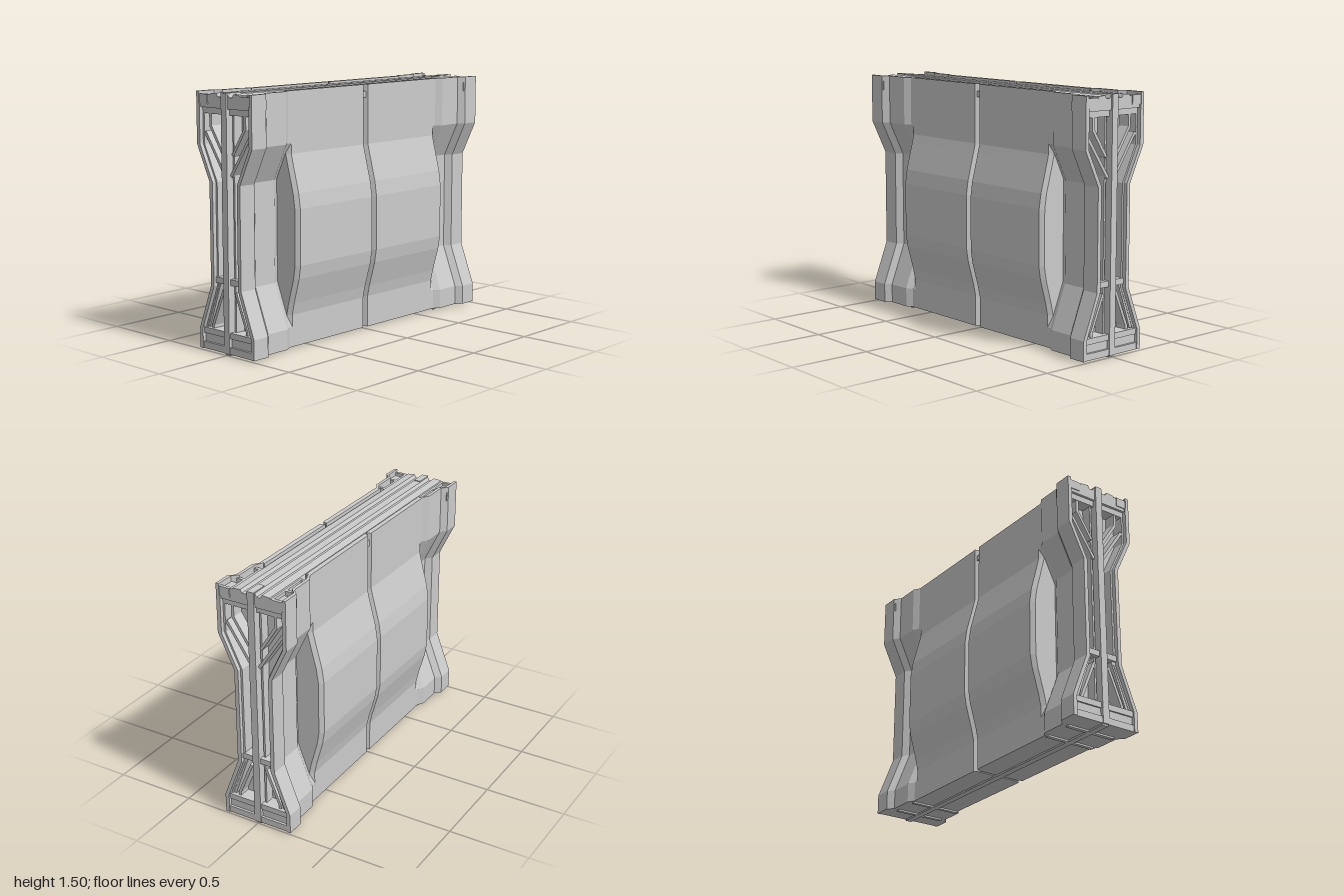
import * as THREE from 'three';

const material = new THREE.MeshStandardMaterial({ color: 0xcccccc, flatShading: true, side: THREE.DoubleSide });

function add(parent, name, geometry) {
  const mesh = new THREE.Mesh(geometry, material);
  mesh.name = name;
  parent.add(mesh);
  return mesh;
}

// Box from its minimum and maximum corners
function box(parent, name, x0, x1, y0, y1, z0, z1) {
  const mesh = add(parent, name, new THREE.BoxGeometry(x1 - x0, y1 - y0, z1 - z0));
  mesh.position.set((x0 + x1) / 2, (y0 + y1) / 2, (z0 + z1) / 2);
  return mesh;
}

// Sweep a plan section up a path of [y, z]. Section points are [x, offset from z],
// or [x, z, true] for a fixed z. mirror = -1 flips x.
function loft(section, path, mirror = 1) {
  const rings = path.map(([y, z]) =>
    section.map(([x, d, fixed]) => new THREE.Vector3(x * mirror, y, fixed ? d : z + d)));
  const flat = ring => ring.map(p => new THREE.Vector2(p.x, p.z));
  if (THREE.ShapeUtils.isClockWise(flat(rings[0]))) rings.forEach(r => r.reverse());
  const out = [];
  const tri = (...pts) => pts.forEach(p => out.push(p.x, p.y, p.z));
  const n = section.length;
  for (let i = 0; i < rings.length - 1; i++) {
    const a = rings[i], b = rings[i + 1];
    for (let j = 0; j < n; j++) {
      const k = (j + 1) % n;
      tri(a[j], b[j], a[k]);
      tri(a[k], b[j], b[k]);
    }
  }
  const low = rings[0], high = rings[rings.length - 1];
  for (const [a, b, c] of THREE.ShapeUtils.triangulateShape(flat(low), [])) tri(low[a], low[b], low[c]);
  for (const [a, b, c] of THREE.ShapeUtils.triangulateShape(flat(high), [])) tri(high[a], high[c], high[b]);
  const g = new THREE.BufferGeometry();
  g.setAttribute('position', new THREE.Float32BufferAttribute(out, 3));
  g.computeVertexNormals();
  return g;
}

// Face heights and depths: the columns pinch in, the panels bulge out
const deck = 1.43;
const columnPath = [[0.01, 0.225], [0.13, 0.225], [0.39, 0.125], [0.99, 0.125], [1.2, 0.225], [deck, 0.225]];
const panelPath = [[0.01, 0.165], [0.2, 0.165], [0.27, 0.18], [0.42, 0.222], [0.5, 0.235],
  [0.83, 0.235], [0.92, 0.222], [1.08, 0.18], [1.14, 0.165], [deck, 0.165]];

const columnFace = [[1, 0], [0.89, 0], [0.855, -0.035], [0.7, -0.035], [0.66, -0.06], [0.63, -0.06]];
const columnBody = [...columnFace, [0.63, 0, true], [0.9, 0, true], [0.9, -0.025], [1, -0.025]];
const columnLip = [...columnFace, [0.63, -0.075], [0.66, -0.075], [0.7, -0.055], [0.85, -0.055],
  [0.885, -0.02], [1, -0.02]];
const panelFace = [[0.007, -0.025], [0.02, 0], [0.635, 0], [0.655, -0.025]];
const panelBody = [...panelFace, [0.655, 0, true], [0.007, 0, true]];
const panelLip = [...panelFace, [0.655, -0.03], [0.007, -0.03]];

// One face of the wall: two bulging panels between pinched columns
function wallFace(name) {
  const g = new THREE.Group();
  g.name = name;
  for (const s of [1, -1]) {
    add(g, 'panel', loft(panelBody, panelPath, s));
    add(g, 'panelLip', loft(panelLip, [[deck, 0.165], [1.5, 0.165]], s));
    add(g, 'column', loft(columnBody, columnPath, s));
    add(g, 'columnLip', loft(columnLip, [[deck, 0.225], [1.5, 0.225]], s));
    // Pocket rims on top of the column
    const rim = (x0, x1, z0, z1) =>
      box(g, 'pocketRim', Math.min(s * x0, s * x1), Math.max(s * x0, s * x1), deck, 1.485, z0, z1);
    rim(0.69, 0.99, 0.125, 0.14);
    rim(0.845, 0.865, 0.14, 0.18);
    rim(0.69, 0.71, 0.14, 0.17);
    rim(0.975, 0.995, 0.14, 0.205);
  }
  return g;
}

// Open braced frame closing one end of the wall
function endFrame(name) {
  const g = new THREE.Group();
  g.name = name;
  box(g, 'centrePost', 0.89, 1, 0.01, 1.5, -0.022, 0.022);
  box(g, 'topBeam', 0.88, 0.99, 1.41, 1.465, -0.22, 0.22);
  box(g, 'topFlange', 0.88, 0.975, 1.375, 1.41, -0.205, 0.205);
  box(g, 'bottomBeam', 0.88, 0.995, 0.01, 0.05, -0.215, 0.215);
  box(g, 'bottomWeb', 0.88, 0.98, 0.05, 0.1, -0.21, 0.21);
  box(g, 'bottomFlange', 0.88, 0.99, 0.1, 0.135, -0.21, 0.21);
  box(g, 'crossbar', 0.89, 0.985, 0.41, 0.445, -0.115, 0.115);
  const braces = [
    [[0.14, 1.38], [0.14, 1.3]], [[0.14, 1.305], [0.04, 1.15]], [[0.185, 1.27], [0.025, 1.03]],
    [[0.14, 0.13], [0.14, 0.16]], [[0.14, 0.155], [0.05, 0.37]], [[0.175, 0.14], [0.08, 0.41]],
  ];
  for (const s of [1, -1]) {
    for (const [[z0, y0], [z1, y1]] of braces) {
      const dz = (z1 - z0) * s, dy = y1 - y0;
      const bar = add(g, 'brace', new THREE.BoxGeometry(0.075, Math.hypot(dz, dy), 0.018));
      bar.position.set(0.935, (y0 + y1) / 2, s * (z0 + z1) / 2);
      bar.rotation.x = Math.atan2(dz, dy);
    }
    box(g, 'postRail', 0.89, 0.96, 0.13, 1.38, s * 0.035 - 0.006, s * 0.035 + 0.006);
    // Inner flange following the column
    add(g, 'columnFlange', loft([[0.975, -0.02], [0.9, -0.02], [0.9, -0.037], [0.975, -0.037]], columnPath))
      .rotation.y = 0;
    if (s < 0) {
      const flange = g.children[g.children.length - 1];
      flange.scale.z = -1;
    }
  }
  return g;
}

export function createModel() {
  const model = new THREE.Group();
  model.name = 'wallSegment';

  const front = wallFace('frontFace');
  const back = wallFace('backFace');
  back.rotation.y = Math.PI;
  const left = endFrame('leftEnd');
  const right = endFrame('rightEnd');
  right.rotation.y = Math.PI;
  model.add(front, back, left, right);

  // Core behind the panel seam
  box(model, 'core', -0.64, 0.64, 0.03, deck, -0.135, 0.135);

  // Ridged cap running the full length
  const half = [[0.155, 1.42], [0.155, 1.455], [0.13, 1.465], [0.12, 1.49], [0.07, 1.495],
    [0.06, 1.475], [0.035, 1.475], [0.025, 1.495]];
  const outline = [...half, ...half.map(([z, y]) => [-z, y]).reverse()];
  const capShape = new THREE.Shape(outline.map(([z, y]) => new THREE.Vector2(z, y)));
  const cap = add(model, 'ridgedCap',
    new THREE.ExtrudeGeometry(capShape, { depth: 1.98, bevelEnabled: false }));
  cap.rotation.y = Math.PI / 2;
  cap.position.x = -0.99;

  // Keel and cross ribs under the base
  box(model, 'keel', -0.99, 0.99, 0, 0.02, -0.02, 0.02);
  for (const x of [-0.86, -0.68, 0.68, 0.86])
    box(model, 'baseRib', x - 0.012, x + 0.012, 0, 0.02, -0.16, 0.16);

  return model;
}
